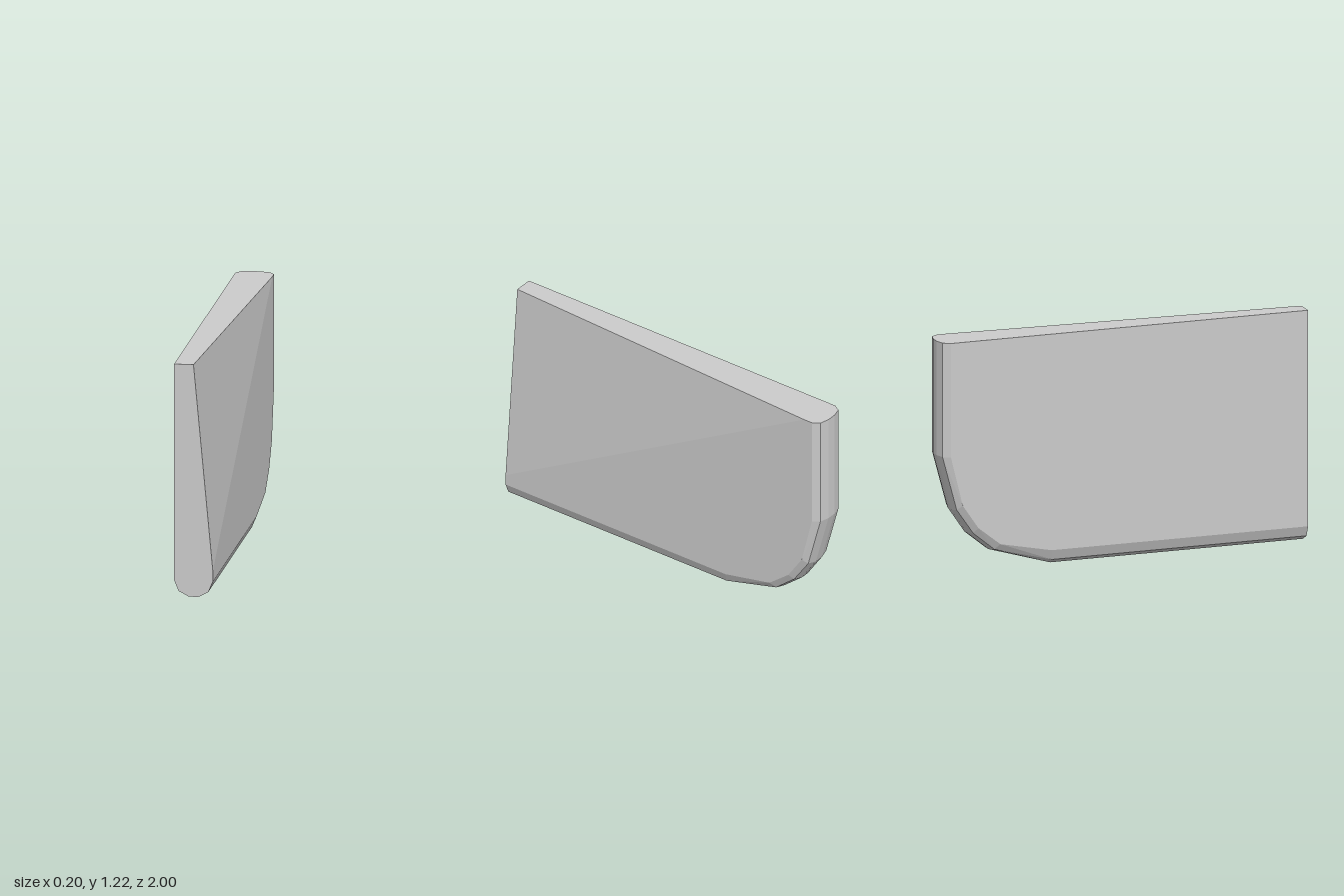
import * as THREE from 'three';
import { ConvexGeometry } from 'three/addons/geometries/ConvexGeometry.js';

// Rim outlines as [z, y], from the front bottom round the corner to the back top,
// each lying at +x and -x of the given half width
const RIM = [
  { x: 0.1, path: [[1, 0.083], [-0.4, 0.083], [-0.68, 0.14], [-0.8, 0.235], [-0.885, 0.36], [-0.95, 0.62], [-0.95, 1.22]] },
  { x: 0.077, path: [[1, 0.028], [-0.39, 0.028], [-0.705, 0.11], [-0.82, 0.205], [-0.91, 0.335], [-0.987, 0.62], [-0.987, 1.22]] },
  { x: 0.025, path: [[1, 0], [-0.38, 0], [-0.717, 0.1], [-0.83, 0.192], [-0.92, 0.325], [-1, 0.62], [-1, 1.22]] },
];

export function createModel() {
  const group = new THREE.Group();
  group.name = 'panel';
  const points = [];

  // Rounded rim along the bottom and back, mirrored on both sides
  for (const { x, path } of RIM) {
    for (const [z, y] of path) {
      points.push(new THREE.Vector3(x, y, z), new THREE.Vector3(-x, y, z));
    }
  }

  // Square top front corner on one side, slanted cut on the other
  points.push(
    new THREE.Vector3(-0.1, 1.22, 1),
    new THREE.Vector3(0, 1.22, 1),
    new THREE.Vector3(0.1, 0.14, 1),
    new THREE.Vector3(0.1, 1.22, -0.9),
  );

  // The whole slab is convex, so its hull gives every face
  const slab = new THREE.Mesh(
    new ConvexGeometry(points),
    new THREE.MeshStandardMaterial({ color: 0xcccccc, flatShading: true }),
  );
  slab.name = 'roundedSlab';
  group.add(slab);
  return group;
}
